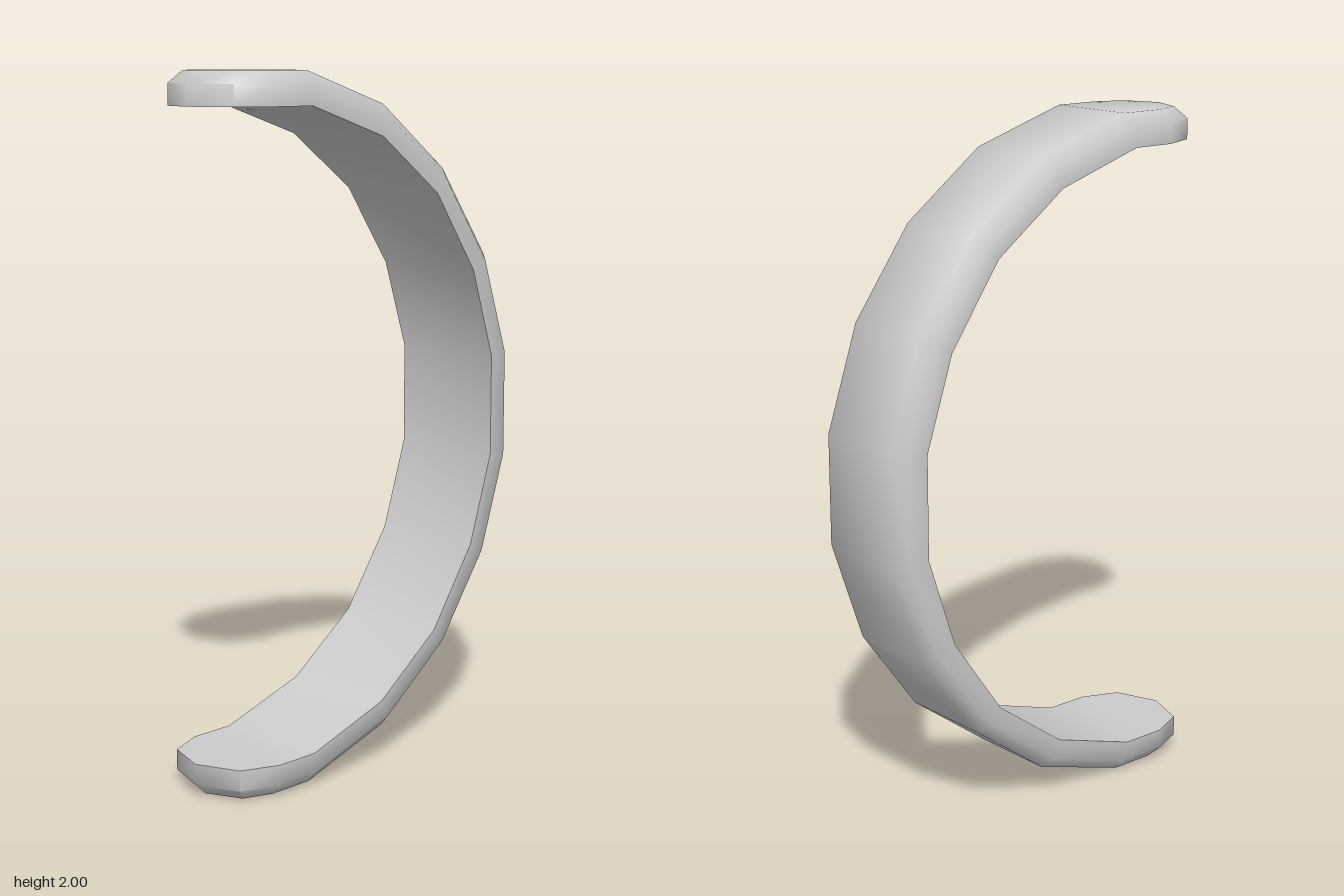
import * as THREE from 'three';
import { toCreasedNormals } from 'three/addons/utils/BufferGeometryUtils.js';

// Upper half of the band, from the pointed tip to the middle of the back.
// Each row: half width, outer half width, then [z, y] of the inner edge, side edge and outer edge.
const HALF = [
  [0, 0, [0.578, 1.905], [0.578, 1.965], [0.54, 2]],
  [0.13, 0.105, [0.53, 1.905], [0.53, 1.965], [0.497, 2]],
  [0.176, 0.138, [0.42, 1.905], [0.42, 1.965], [0.412, 2]],
  [0.176, 0.138, [0.283, 1.905], [0.275, 1.965], [0.27, 2]],
  [0.176, 0.138, [0.005, 1.817], [-0.018, 1.872], [-0.035, 1.905]],
  [0.176, 0.138, [-0.225, 1.65], [-0.263, 1.69], [-0.29, 1.717]],
  [0.176, 0.138, [-0.39, 1.415], [-0.443, 1.442], [-0.477, 1.46]],
  [0.176, 0.138, [-0.478, 1.15], [-0.54, 1.157], [-0.578, 1.16]],
];

// Six-sided cross-section: flat inside, straight sides, bevelled outside
function ring([w, wo, i, s, o], mirror) {
  const p = (x, [z, y]) => new THREE.Vector3(x, mirror ? 2 - y : y, z);
  return [p(w, i), p(w, s), p(wo, o), p(-wo, o), p(-w, s), p(-w, i)];
}

function loft(rings) {
  const positions = [];
  const tri = (a, b, c) => {
    const area = b.clone().sub(a).cross(c.clone().sub(a)).length();
    if (area > 1e-7) for (const v of [a, b, c]) positions.push(v.x, v.y, v.z);
  };
  for (let r = 0; r < rings.length - 1; r++) {
    const a = rings[r], b = rings[r + 1];
    for (let k = 0; k < a.length; k++) {
      const n = (k + 1) % a.length;
      tri(a[k], b[k], b[n]);
      tri(a[k], b[n], a[n]);
    }
  }
  const geometry = new THREE.BufferGeometry();
  geometry.setAttribute('position', new THREE.Float32BufferAttribute(positions, 3));
  return toCreasedNormals(geometry, THREE.MathUtils.degToRad(60));
}

export function createModel() {
  const group = new THREE.Group();
  group.name = 'openCuff';

  // Upper half followed by its mirror image below
  const rings = [
    ...HALF.map((row) => ring(row, false)),
    ...[...HALF].reverse().map((row) => ring(row, true)),
  ];
  const band = new THREE.Mesh(loft(rings), new THREE.MeshStandardMaterial({ color: 0xcccccc }));
  band.name = 'curvedBand';
  group.add(band);
  return group;
}
